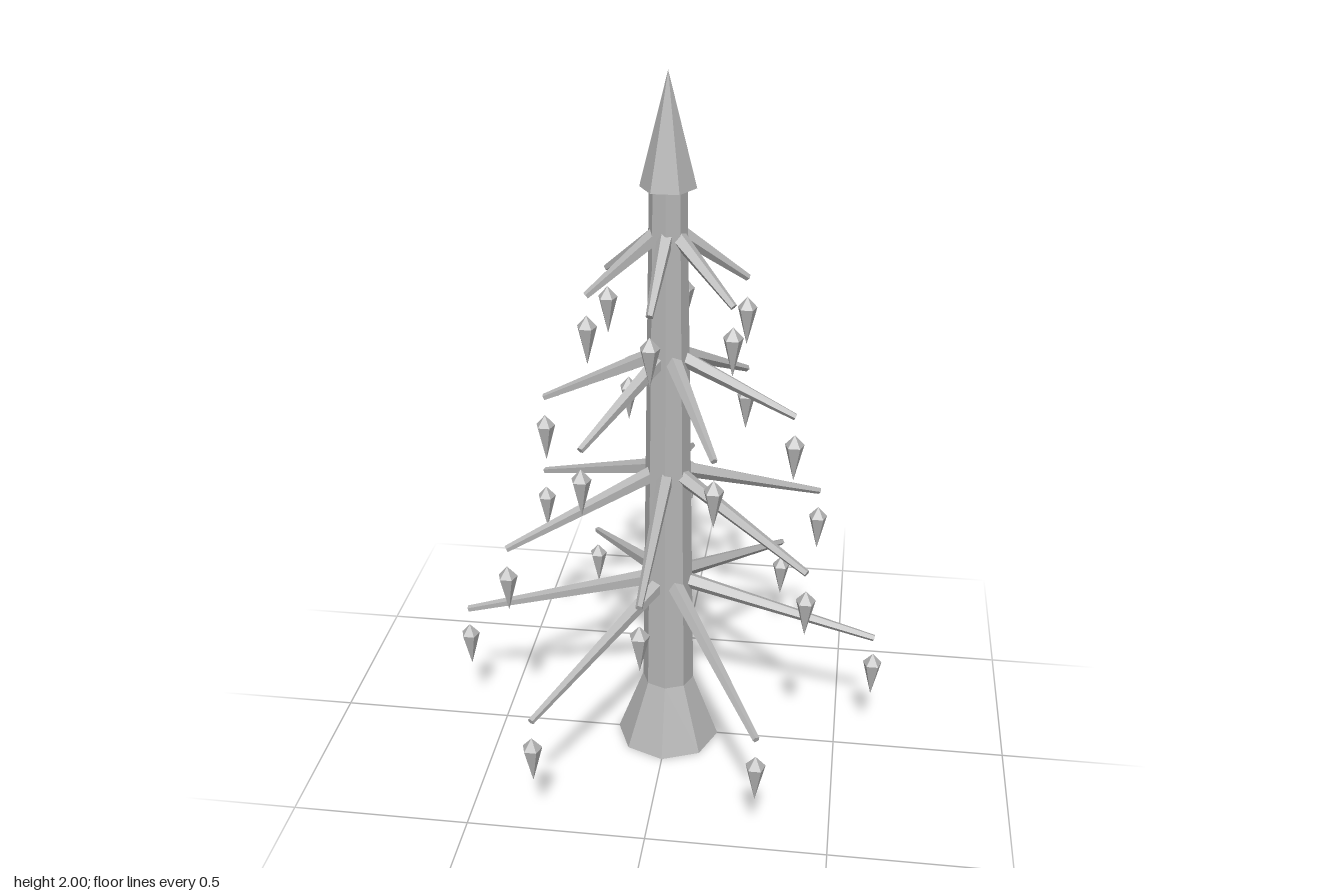
import * as THREE from 'three';

export function createModel() {
  const grey = new THREE.MeshStandardMaterial({ color: 0xb4b4b4, flatShading: true });
  grey.name = 'grey';
  const model = new THREE.Group();
  model.name = 'tree';

  const add = (parent, name, geometry) => {
    const mesh = new THREE.Mesh(geometry, grey);
    mesh.name = name;
    parent.add(mesh);
    return mesh;
  };

  // Eight-sided trunk with a flared foot
  const trunkProfile = [[0, 0], [0.15, 0], [0.075, 0.2], [0.05, 1.72], [0, 1.72]]
    .map(([r, y]) => new THREE.Vector2(r, y));
  add(model, 'trunk', new THREE.LatheGeometry(trunkProfile, 8));

  // Six-sided pointed crown
  const crown = add(model, 'crown', new THREE.ConeGeometry(0.075, 0.3, 6));
  crown.position.y = 1.85;
  crown.rotation.y = Math.PI / 6;

  // Hanging drop: long point below, short point above
  const dropProfile = [[0, -0.106], [0.028, 0], [0, 0.032]]
    .map(([r, y]) => new THREE.Vector2(r, y));
  const dropGeometry = new THREE.LatheGeometry(dropProfile, 5, Math.PI);

  // Four tiers of six drooping branches, each tier turned a little further
  const up = new THREE.Vector3(0, 1, 0);
  for (let t = 0; t < 4; t++) {
    const reach = 0.6 - 0.125 * t;
    const y = 0.55 + 0.35 * t;
    const tier = new THREE.Group();
    tier.name = `tier${t + 1}`;
    model.add(tier);
    const length = Math.hypot(reach, 0.17);
    const branchGeometry = new THREE.CylinderGeometry(0.01, 0.025, length, 5);

    for (let i = 0; i < 6; i++) {
      const a = 0.55 * t + (i * Math.PI) / 3;
      const start = new THREE.Vector3(0, y, 0);
      const tip = new THREE.Vector3(reach * Math.cos(a), y - 0.17, reach * Math.sin(a));

      const branch = add(tier, 'branch', branchGeometry);
      branch.position.lerpVectors(start, tip, 0.5);
      // Turn about the upright axis first, then droop
      const droop = new THREE.Quaternion().setFromUnitVectors(
        up, new THREE.Vector3(reach, -0.17, 0).normalize());
      branch.quaternion.setFromAxisAngle(up, -a).multiply(droop);

      const drop = add(tier, 'hangingDrop', dropGeometry);
      drop.position.set(tip.x, y - 0.257, tip.z);
    }
  }
  return model;
}
